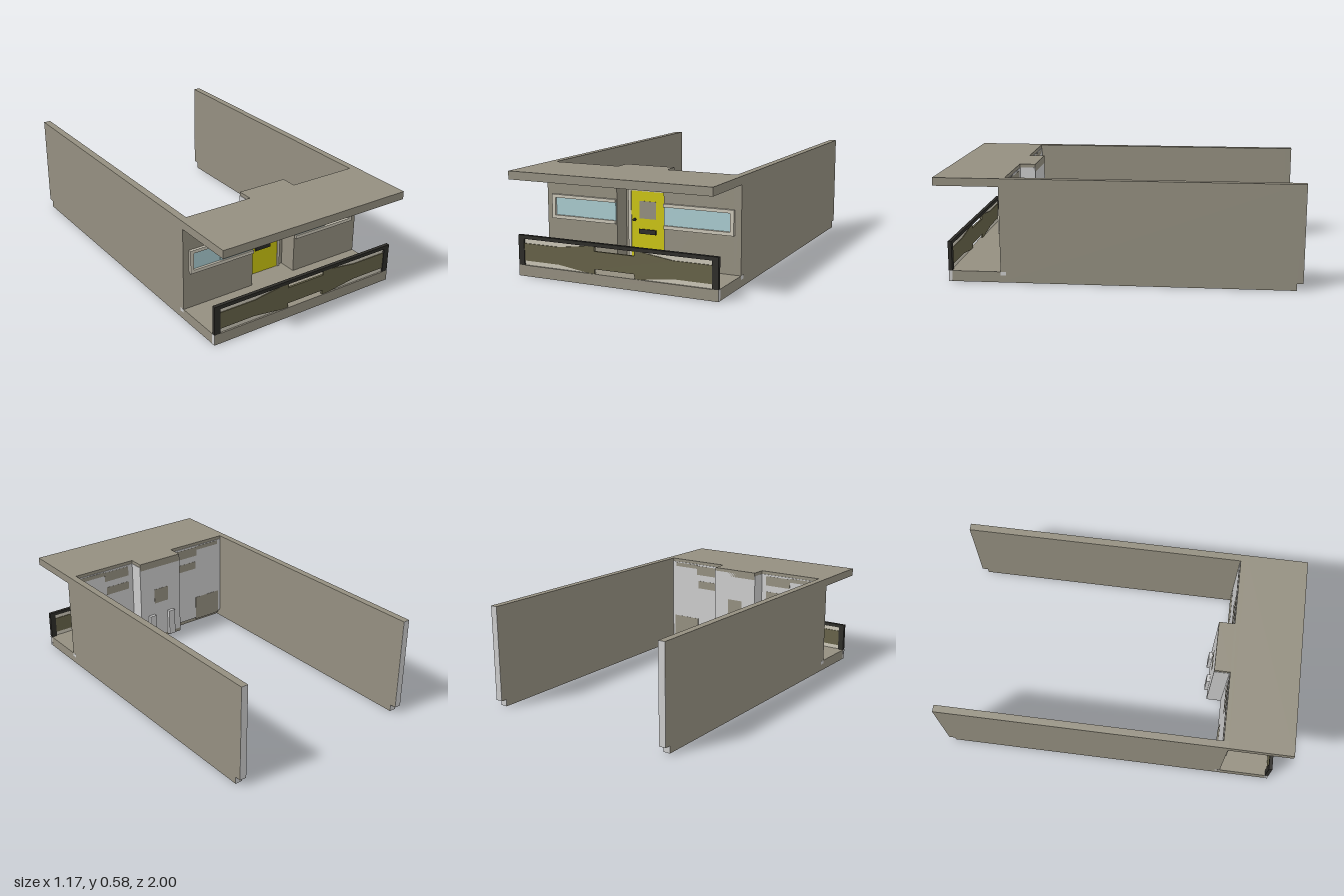
import * as THREE from 'three';

const mat = (color) => new THREE.MeshStandardMaterial({ color, flatShading: true });

export function createModel() {
  const root = new THREE.Group();
  const concrete = mat(0x948f80), grey = mat(0xcccccc), trim = mat(0xccc7b8);
  const glass = mat(0xaaccd0), yellow = mat(0xccc510), dark = mat(0x2d2c28), panelBrown = mat(0x666248);

  // Box given by its extents on each axis
  const box = (name, m, x0, x1, y0, y1, z0, z1, parent = root) => {
    const mesh = new THREE.Mesh(new THREE.BoxGeometry(Math.abs(x1 - x0), y1 - y0, z1 - z0), m);
    mesh.position.set((x0 + x1) / 2, (y0 + y1) / 2, (z0 + z1) / 2);
    mesh.name = name;
    parent.add(mesh);
    return mesh;
  };

  // Roof slab with the overhang and the part above the entrance recess
  box('roofOverhang', concrete, -0.585, 0.585, 0.535, 0.58, 0.64, 1);
  box('roofInner', concrete, -0.545, 0.545, 0.535, 0.58, 0.61, 0.64);
  box('recessRoof', concrete, -0.147, 0.147, 0.535, 0.58, 0.52, 0.61);

  // Balcony floor, its rear lip and the entrance floor
  box('balconyFloor', concrete, -0.585, 0.585, 0, 0.06, 0.64, 0.93);
  box('floorLip', concrete, -0.545, 0.545, 0.04, 0.06, 0.61, 0.64);
  box('recessFloor', concrete, -0.147, 0.147, 0.04, 0.06, 0.52, 0.61);

  // Everything mirrored left and right
  for (const s of [1, -1]) {
    const side = s > 0 ? 'left' : 'right';
    const g = new THREE.Group();
    g.name = side + 'Half';
    root.add(g);
    const b = (name, m, x0, x1, ...r) => box(name, m, s * x0, s * x1, ...r, g);

    // Long party wall with a notched rear foot
    b('sideWall', concrete, 0.545, 0.585, 0, 0.58, -0.965, 0.64);
    b('sideWallRear', concrete, 0.545, 0.585, 0.04, 0.58, -0.999, -0.965);
    b('sideWallEndCap', grey, 0.545, 0.585, 0.04, 0.58, -1, -0.999);
    b('sideWallFootCap', grey, 0.545, 0.585, 0, 0.04, -0.966, -0.965);
    b('floorLipEnd', grey, 0.585, 0.586, 0.04, 0.06, 0.61, 0.64);
    b('floorEdgeEnd', grey, 0.585, 0.586, 0, 0.06, 0.91, 0.93);

    // Front wall, inner lining and recess cheek
    b('frontWall', concrete, 0.147, 0.545, 0.06, 0.535, 0.61, 0.64);
    b('innerLining', grey, 0.147, 0.545, 0.04, 0.56, 0.607, 0.61);
    b('recessCheek', concrete, 0.142, 0.147, 0.06, 0.535, 0.522, 0.64);
    b('recessCheekLining', grey, 0.147, 0.149, 0.04, 0.56, 0.52, 0.607);
    for (const [x0, x1, y0, y1] of [[0.34, 0.53, 0.03, 0.19], [0.18, 0.35, 0.49, 0.55],
      [0.18, 0.34, 0.4, 0.45], [0.35, 0.52, 0.53, 0.555]])
      b('liningPatch', concrete, x0, x1, y0, y1, 0.606, 0.608);

    // Window with two panes, open towards the entrance
    b('windowFrameTop', trim, 0.146, 0.548, 0.386, 0.404, 0.64, 0.655);
    b('windowFrameBottom', trim, 0.146, 0.548, 0.268, 0.287, 0.64, 0.655);
    b('windowFrameSide', trim, 0.527, 0.548, 0.287, 0.386, 0.64, 0.655);
    b('innerPane', glass, 0.146, 0.357, 0.287, 0.386, 0.64, 0.646);
    b('outerPane', glass, 0.357, 0.527, 0.287, 0.386, 0.64, 0.642);

    // Railing post and the light sheet behind the panel
    b('railingPost', dark, 0.55, 0.585, 0.06, 0.205, 0.91, 0.93);
    b('railingSheet', trim, 0.117, 0.55, 0.06, 0.205, 0.918, 0.921);

    // Small column behind the entrance
    b('rearColumn', grey, 0.05, 0.094, 0.05, 0.215, 0.5, 0.52);
  }

  // Railing: top rail and a panel that flares beside the entrance
  box('topRail', dark, -0.585, 0.585, 0.205, 0.225, 0.91, 0.93);
  const top = [[-0.55, 0.18], [-0.335, 0.18], [-0.15, 0.205], [-0.117, 0.205], [-0.117, 0.18],
    [0.117, 0.18], [0.117, 0.205], [0.15, 0.205], [0.335, 0.18], [0.55, 0.18]];
  const bottom = top.map(([x, y]) => [x, y > 0.19 ? 0.06 : 0.085]).reverse();
  const outline = new THREE.Shape([...top, ...bottom].map(([x, y]) => new THREE.Vector2(x, y)));
  const panel = new THREE.Mesh(new THREE.ExtrudeGeometry(outline, { depth: 0.012, bevelEnabled: false }), panelBrown);
  panel.position.z = 0.914;
  panel.name = 'railingPanel';
  root.add(panel);

  // Entrance: back wall of the recess, door and its fittings
  box('recessBackWall', concrete, -0.142, 0.142, 0.06, 0.535, 0.522, 0.535);
  box('recessBackLining', grey, -0.149, 0.149, 0.06, 0.56, 0.52, 0.522);
  box('doorWindowRear', concrete, -0.055, 0.047, 0.29, 0.385, 0.519, 0.521);
  const door = new THREE.Group();
  door.name = 'door';
  root.add(door);
  box('doorFrameRight', trim, -0.122, -0.104, 0.06, 0.466, 0.535, 0.55, door);
  box('doorFrameLeft', trim, 0.098, 0.113, 0.06, 0.466, 0.535, 0.55, door);
  box('doorFrameTop', trim, -0.104, 0.098, 0.441, 0.466, 0.535, 0.55, door);
  box('doorLeaf', yellow, -0.104, 0.098, 0.06, 0.441, 0.535, 0.545, door);
  box('doorWindow', concrete, -0.055, 0.047, 0.289, 0.386, 0.545, 0.547, door);
  box('mailSlot', dark, -0.055, 0.047, 0.204, 0.23, 0.545, 0.552, door);
  const knob = new THREE.Mesh(new THREE.CylinderGeometry(0.008, 0.008, 0.015, 10), dark);
  knob.rotation.x = Math.PI / 2;
  knob.position.set(-0.083, 0.28, 0.552);
  knob.name = 'doorKnob';
  door.add(knob);

  return root;
}
